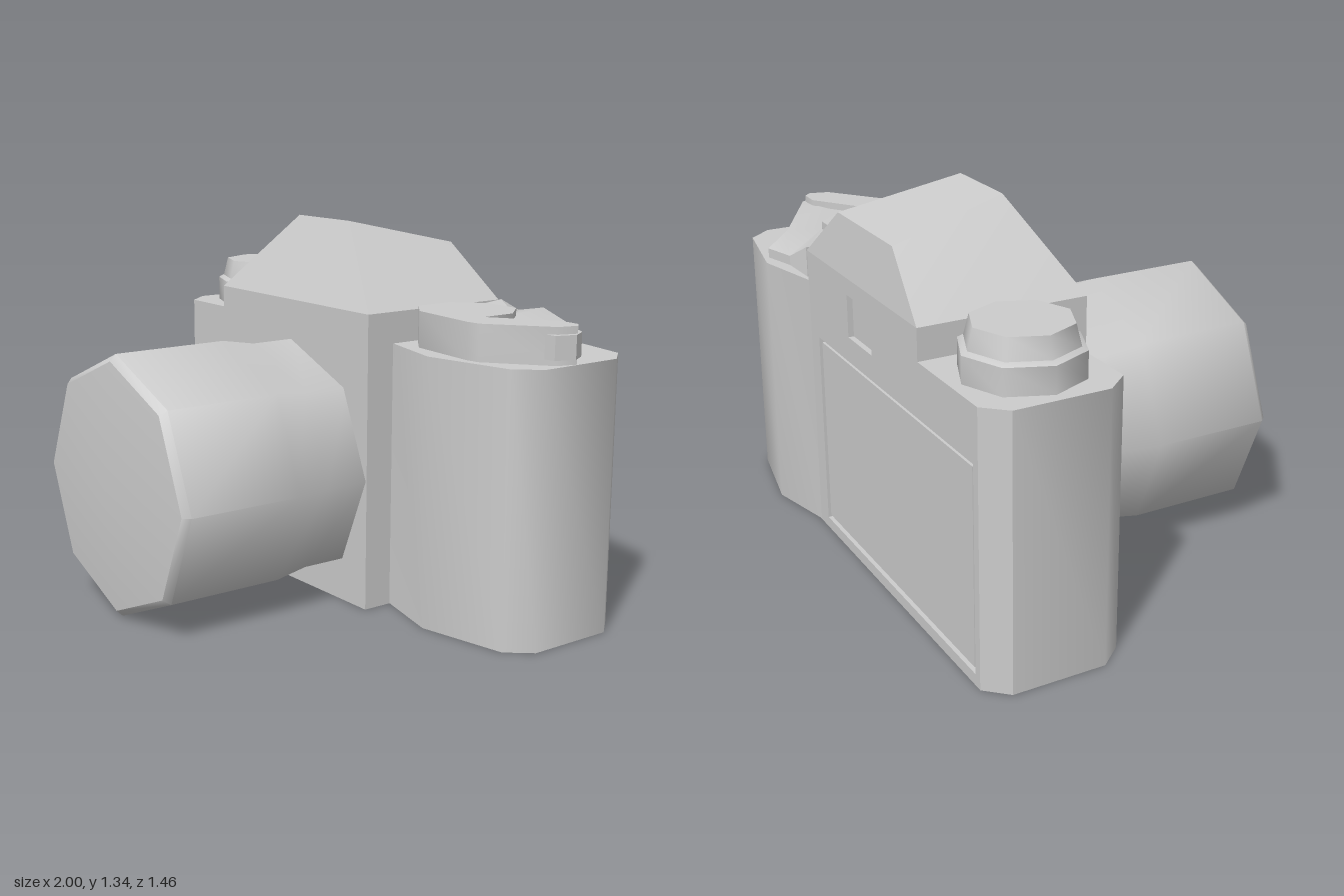
import * as THREE from 'three';
import { toCreasedNormals } from 'three/addons/utils/BufferGeometryUtils.js';
import { ConvexGeometry } from 'three/addons/geometries/ConvexGeometry.js';

const material = new THREE.MeshStandardMaterial({ color: 0xcccccc });

function addPart(parent, name, geometry, crease = 0.75) {
  const mesh = new THREE.Mesh(toCreasedNormals(geometry, crease), material);
  mesh.name = name;
  parent.add(mesh);
  return mesh;
}

const points = (list) => list.map(([x, y]) => new THREE.Vector2(x, y));

// Raises a plan outline of [x, z] corners from y0 to y1
function raise(plan, y0, y1) {
  const shape = new THREE.Shape(points(plan.map(([x, z]) => [x, -z])));
  const geometry = new THREE.ExtrudeGeometry(shape, { depth: y1 - y0, bevelEnabled: false });
  return geometry.rotateX(-Math.PI / 2).translate(0, y0, 0);
}

// Eight-sided turned part from [radius, height] points
const turn = (profile) => new THREE.LatheGeometry(points(profile), 8);

function rectangle(x0, y0, x1, y1) {
  return new THREE.Path(points([[x0, y0], [x0, y1], [x1, y1], [x1, y0]]));
}

export function createModel() {
  const model = new THREE.Group();
  model.name = 'camera';

  // Body with a swelling grip; its back is notched to take the back plate
  addPart(model, 'body', raise([
    [-1, -0.58], [-0.93, -0.655], [-0.925, -0.655], [-0.925, -0.635],
    [0.34, -0.635], [0.34, -0.655], [0.35, -0.655], [0.6, -0.715],
    [0.92, -0.655], [0.99, -0.57], [0.99, -0.25], [0.92, -0.165],
    [0.6, -0.1], [0.35, -0.165], [-0.93, -0.165], [-1, -0.25],
  ], 0, 0.94));

  // Back plate with openings for the film door and the viewfinder
  const plate = new THREE.Shape(points([
    [-0.925, 0], [0.34, 0], [0.345, 1.05], [-0.54, 1.05], [-0.54, 0.94], [-0.925, 0.94],
  ]));
  plate.holes.push(rectangle(-0.9, 0.04, 0.27, 0.75), rectangle(-0.19, 0.84, 0, 0.99));
  const plateGeometry = new THREE.ExtrudeGeometry(plate, { depth: 0.02, bevelEnabled: false });
  addPart(model, 'backPlate', plateGeometry.translate(0, 0, -0.655));
  addPart(model, 'filmDoor', new THREE.BoxGeometry(1.14, 0.68, 0.03))
    .position.set(-0.315, 0.395, -0.635);

  // Central block carrying the lens, and the prism housing above it
  addPart(model, 'lensBlock', new THREE.BoxGeometry(0.885, 1.05, 0.58))
    .position.set(-0.0975, 0.525, -0.345);
  const roof = [];
  for (const side of [-1, 1]) {
    for (const [halfWidth, y, z] of [
      [0.4425, 1.05, -0.055], [0.4425, 1.05, -0.655],
      [0.148, 1.335, -0.2], [0.215, 1.24, -0.625],
    ]) roof.push(new THREE.Vector3(-0.0975 + side * halfWidth, y, z));
  }
  addPart(model, 'prismHousing', new ConvexGeometry(roof), 0.25);

  // Lens barrel and shallow domed front
  const lens = new THREE.Group();
  lens.name = 'lens';
  lens.position.set(-0.1, 0.465, 0);
  lens.rotation.x = Math.PI / 2;
  model.add(lens);
  addPart(lens, 'barrel', turn([
    [0.44, -0.07], [0.44, 0.11], [0.463, 0.24], [0.463, 0.668], [0.44, 0.692],
  ]), 0.85);
  addPart(lens, 'lensFront', turn([[0.44, 0.692], [0, 0.728]]));

  // Rewind knob: base ring and tapered cap
  const knob = new THREE.Group();
  knob.name = 'rewindKnob';
  knob.position.set(-0.76, 0, -0.415);
  model.add(knob);
  addPart(knob, 'knobBase', turn([[0.203, 0.94], [0.203, 1.03], [0.185, 1.04], [0, 1.04]]), 0.85);
  addPart(knob, 'knobCap', turn([[0.183, 1.04], [0.165, 1.11], [0, 1.11]]), 0.85);

  // Wind hub with an arm reaching out to the side
  addPart(model, 'windHub', raise([
    [0.365, -0.4], [0.365, -0.26], [0.457, -0.185], [0.72, -0.16], [0.77, -0.166],
    [0.965, -0.32], [0.985, -0.39], [0.96, -0.417], [0.885, -0.417],
    [0.68, -0.27], [0.68, -0.4], [0.6, -0.495], [0.46, -0.495],
  ], 0.94, 1.065));

  // Wind lever sweeping back to a thumb tab that thins at its tip
  const lever = raise([
    [0.365, -0.5], [0.365, -0.65], [0.41, -0.695], [0.53, -0.73], [0.595, -0.63],
    [0.97, -0.425], [1, -0.37], [0.975, -0.3], [0.68, -0.27], [0.68, -0.4], [0.59, -0.5],
  ], 0.96, 1.04);
  const position = lever.attributes.position;
  for (let i = 0; i < position.count; i++) {
    const z = position.getZ(i);
    const half = z < -0.69 ? 0.017 : z < -0.6 ? 0.054 : 0.04;
    position.setY(i, 1 + Math.sign(position.getY(i) - 1) * half);
  }
  addPart(model, 'windLever', lever, 0.5);

  return model;
}
